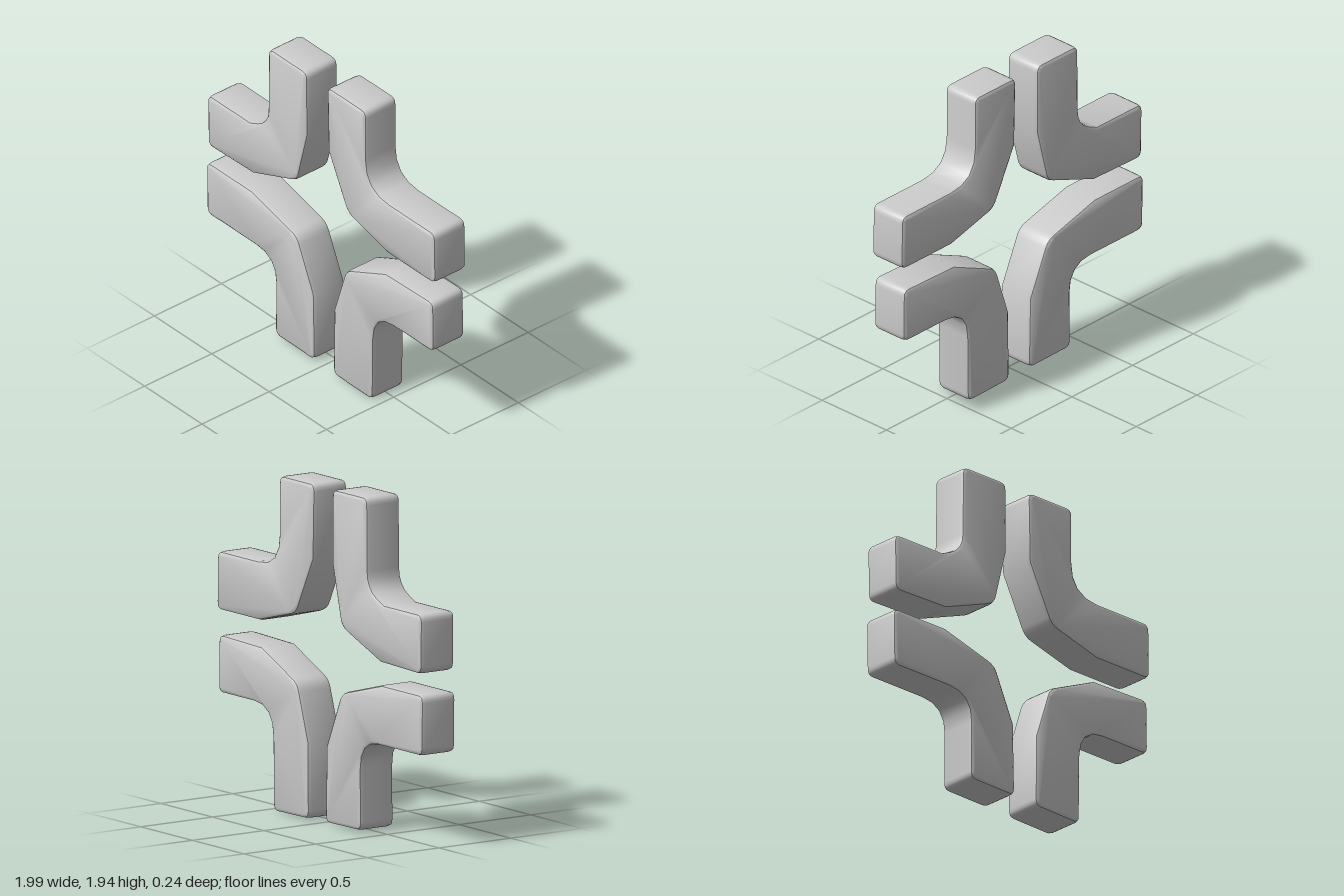
import * as THREE from 'three';
import { toCreasedNormals } from 'three/addons/utils/BufferGeometryUtils.js';

const DEPTH = 0.24, BEVEL = 0.03, INSET = 0.02;

// Elbow outlines: [x, y, corner rounding]
const elbows = {
  upperRightElbow: [
    [-0.46, 1.947, 0.045], [-0.123, 1.947, 0.045], [-0.12, 1.52, 0], [-0.21, 1.165, 0.05],
    [-0.59, 1.02, 0], [-0.985, 1.01, 0.045], [-0.99, 1.355, 0.045], [-0.62, 1.355, 0], [-0.465, 1.425, 0.1],
  ],
  upperLeftElbow: [
    [0.05, 1.947, 0.045], [0.39, 1.947, 0.045], [0.39, 1.42, 0.2], [0.99, 1.42, 0.045],
    [0.995, 1.08, 0.045], [0.585, 1.08, 0], [0.23, 1.173, 0.05], [0.06, 1.515, 0],
  ],
  lowerRightElbow: [
    [-1, 0.89, 0.045], [-0.6, 0.89, 0], [-0.21, 0.785, 0.05], [-0.065, 0.46, 0],
    [-0.055, 0.014, 0.045], [-0.4, 0.018, 0.045], [-0.395, 0.54, 0.17], [-0.995, 0.54, 0.045],
  ],
  lowerLeftElbow: [
    [0.105, 0.008, 0.045], [0.11, 0.45, 0], [0.215, 0.775, 0.05], [0.56, 0.93, 0],
    [0.975, 0.94, 0.045], [0.98, 0.604, 0.045], [0.455, 0.604, 0.18], [0.448, 0.002, 0.045],
  ],
};

// Closed outline whose corners are rounded by the given distance
function roundedOutline(points) {
  const shape = new THREE.Shape();
  const n = points.length;
  const towards = (a, b, r) => {
    const p = new THREE.Vector2(a[0], a[1]);
    return new THREE.Vector2(b[0], b[1]).sub(p).setLength(r).add(p);
  };
  points.forEach((p, i) => {
    const [x, y, r] = p;
    const start = towards(p, points[(i + n - 1) % n], r);
    const end = towards(p, points[(i + 1) % n], r);
    if (i === 0) shape.moveTo(start.x, start.y);
    else shape.lineTo(start.x, start.y);
    if (r > 0) shape.quadraticCurveTo(x, y, end.x, end.y);
  });
  shape.closePath();
  return shape;
}

export function createModel() {
  const group = new THREE.Group();
  group.name = 'fourElbows';
  const material = new THREE.MeshStandardMaterial({ color: 0xcccccc });

  for (const [name, points] of Object.entries(elbows)) {
    const geometry = new THREE.ExtrudeGeometry(roundedOutline(points), {
      depth: DEPTH - 2 * BEVEL,
      bevelThickness: BEVEL,
      bevelSize: INSET,
      bevelOffset: -INSET,
      bevelSegments: 2,
      curveSegments: 4,
    });
    geometry.translate(0, 0, BEVEL - DEPTH / 2);
    const mesh = new THREE.Mesh(toCreasedNormals(geometry, 0.6), material);
    mesh.name = name;
    group.add(mesh);
  }
  return group;
}
